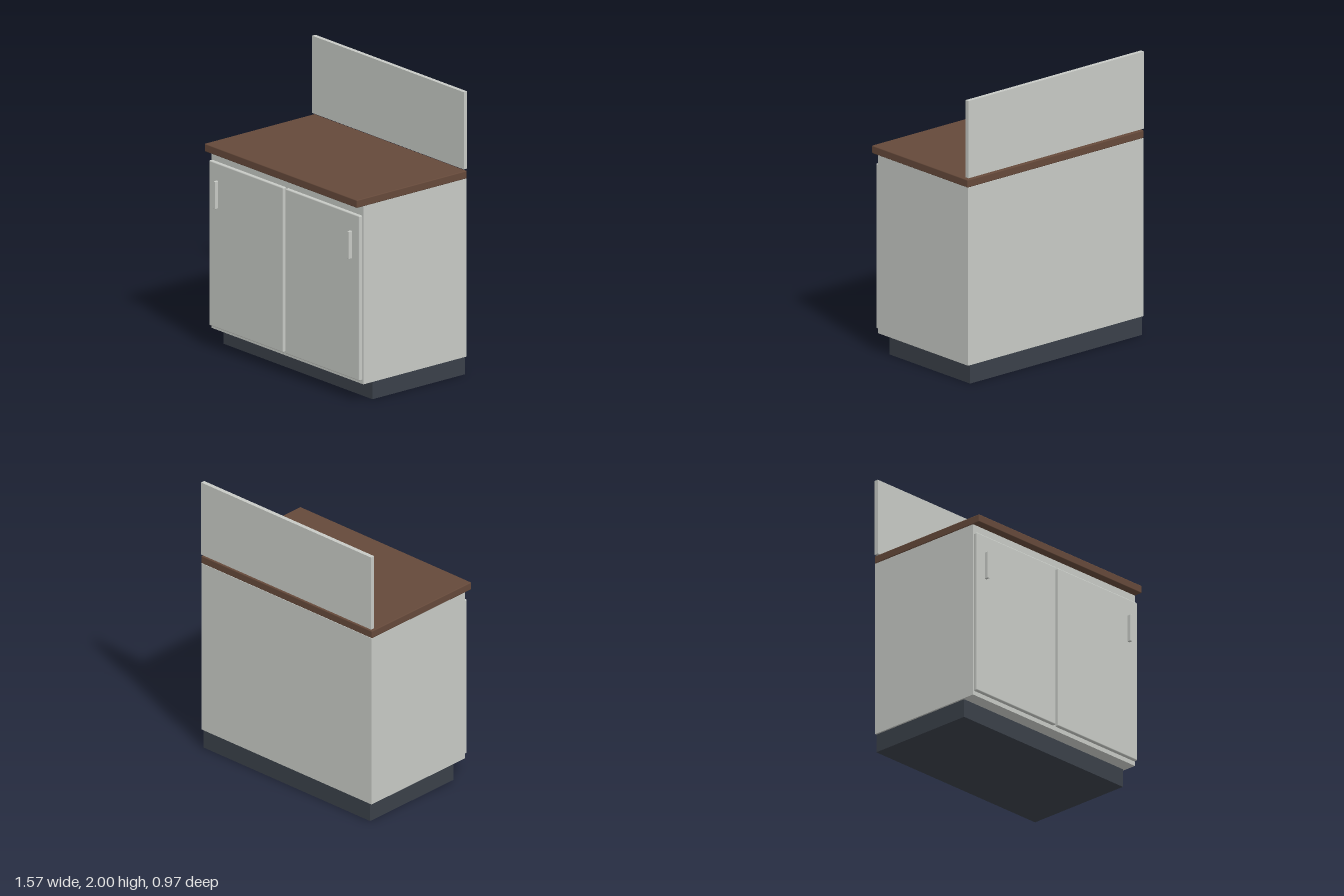
import * as THREE from 'three';
import { RoundedBoxGeometry } from 'three/addons/geometries/RoundedBoxGeometry.js';

function material(name, color) {
  const m = new THREE.MeshStandardMaterial({ color });
  m.name = name;
  return m;
}

// Box given by its [min, max] extents; a radius rounds its edges
function box(name, mat, [x0, x1], [y0, y1], [z0, z1], radius = 0) {
  const size = [x1 - x0, y1 - y0, z1 - z0];
  const geometry = radius
    ? new RoundedBoxGeometry(...size, 2, radius)
    : new THREE.BoxGeometry(...size);
  const mesh = new THREE.Mesh(geometry, mat);
  mesh.name = name;
  mesh.position.set((x0 + x1) / 2, (y0 + y1) / 2, (z0 + z1) / 2);
  return mesh;
}

export function createModel() {
  const paint = material('light grey paint', 0xc7cac5);
  const wood = material('brown worktop', 0x65493a);
  const dark = material('dark plinth', 0x3a4049);

  const model = new THREE.Group();
  model.name = 'baseCabinet';
  const back = -0.483;

  // Recessed plinth, carcass and overhanging worktop
  model.add(box('plinth', dark, [-0.77, 0.765], [0, 0.13], [back, 0.33]));
  model.add(box('carcass', paint, [-0.783, 0.783], [0.13, 1.387], [back, 0.425]));
  model.add(box('worktop', wood, [-0.787, 0.787], [1.387, 1.442], [back, 0.485], 0.006));

  // Upright panel just above the rear of the worktop
  model.add(box('backsplash', paint, [-0.783, 0.783], [1.455, 2], [-0.487, -0.457]));

  // Pair of doors with handles near the outer edges
  for (const [side, name] of [[-1, 'right'], [1, 'left']]) {
    const span = (a, b) => [side * a, side * b].sort((p, q) => p - q);
    model.add(box(name + 'Door', paint, span(0.01, 0.777), [0.157, 1.321], [0.425, 0.455], 0.008));
    model.add(box(name + 'Handle', paint, span(0.681, 0.699), [1.003, 1.198], [0.45, 0.481], 0.003));
  }
  return model;
}
